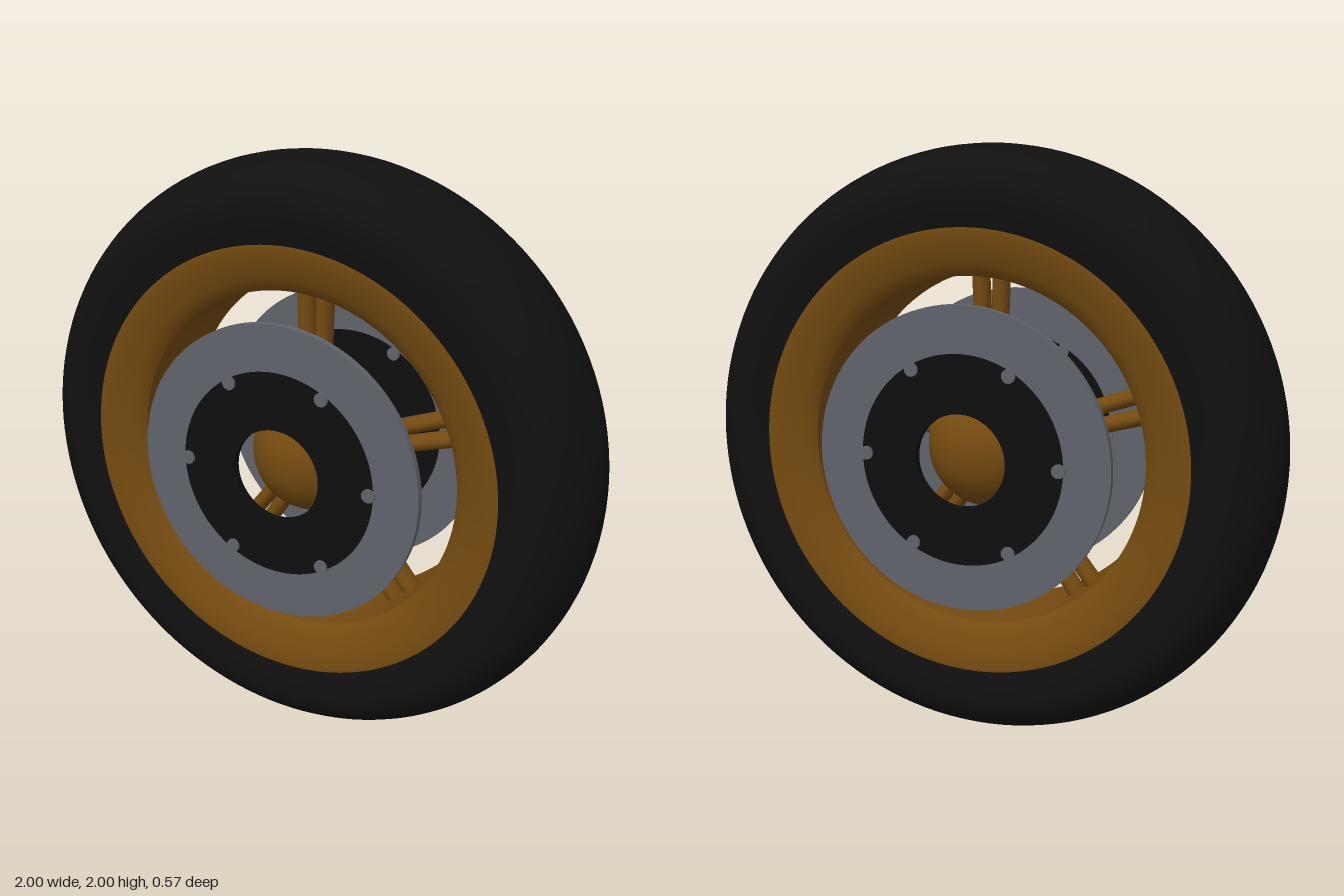
import * as THREE from 'three';
import { toCreasedNormals } from 'three/addons/utils/BufferGeometryUtils.js';

const material = (name, color) => {
  const m = new THREE.MeshStandardMaterial({ color });
  m.name = name;
  return m;
};

// Revolves a closed [radius, z] profile around the axle (z axis)
function ring(profile, segments = 128) {
  const points = [...profile, profile[0]].map(([r, z]) => new THREE.Vector2(r, z));
  const geometry = new THREE.LatheGeometry(points, segments).rotateX(Math.PI / 2);
  return toCreasedNormals(geometry, 0.6);
}

// Completes a front half profile (outside to inside) with its mirrored back half
const mirrored = (half) => [...half, ...half.slice().reverse().map(([r, z]) => [r, -z])];

// Flat washer with a square edge
const washer = (inner, outer, thickness) => {
  const h = thickness / 2;
  return ring([[outer, -h], [outer, h], [inner, h], [inner, -h]]);
};

export function createModel() {
  const rubber = material('black rubber', 0x101010);
  const bronze = material('bronze metal', 0x744a10);
  const steel = material('grey steel', 0x60626b);
  const black = material('black metal', 0x0e0e0e);

  const wheel = new THREE.Group();
  wheel.name = 'wheel';
  const add = (parent, name, geometry, mat) => {
    const mesh = new THREE.Mesh(geometry, mat);
    mesh.name = name;
    parent.add(mesh);
    return mesh;
  };

  // Tyre with an elliptical tread and nearly flat sidewalls
  const tread = [];
  for (let i = 0; i <= 12; i++) {
    const a = (i / 12) * Math.PI / 2;
    tread.push([0.85 + 0.15 * Math.cos(a), 0.24 * Math.sin(a)]);
  }
  add(wheel, 'tyre', ring(mirrored([...tread, [0.79, 0.238], [0.738, 0.225]])), rubber);

  // Rim with curved flanges and a straight inner barrel
  add(wheel, 'rim', ring(mirrored([
    [0.742, 0.226], [0.73, 0.228], [0.68, 0.214], [0.63, 0.198], [0.6, 0.183], [0.585, 0.165],
  ])), bronze);

  // Round hub
  add(wheel, 'hub', new THREE.SphereGeometry(0.215, 48, 32), bronze);

  // Five pairs of spokes, slightly spread towards the rim
  const spokeGeometry = new THREE.CylinderGeometry(0.029, 0.026, 0.5, 20).scale(1, 1, 1.4);
  for (let i = 0; i < 5; i++) {
    const pair = new THREE.Group();
    pair.name = 'spokePair';
    pair.rotation.z = (i / 5) * Math.PI * 2;
    for (const side of [-1, 1]) {
      const spoke = add(pair, 'spoke', spokeGeometry, bronze);
      spoke.position.set(side * 0.03, 0.36, 0);
      spoke.rotation.z = -side * 0.03;
    }
    wheel.add(pair);
  }

  // Brake disc, carrier and bolts on both sides
  const discGeometry = washer(0.35, 0.505, 0.024);
  const carrierGeometry = washer(0.155, 0.35, 0.024);
  const boltGeometry = new THREE.CylinderGeometry(0.023, 0.023, 0.04, 20).rotateX(Math.PI / 2);
  for (const side of [-1, 1]) {
    const brake = new THREE.Group();
    brake.name = side > 0 ? 'frontBrake' : 'backBrake';
    brake.position.z = side * 0.265;
    add(brake, 'brakeDisc', discGeometry, steel);
    add(brake, 'discCarrier', carrierGeometry, black);
    for (let i = 0; i < 6; i++) {
      const a = (i / 6) * Math.PI * 2;
      add(brake, 'bolt', boltGeometry, steel)
        .position.set(0.335 * Math.cos(a), 0.335 * Math.sin(a), 0);
    }
    wheel.add(brake);
  }

  wheel.position.y = 1;
  const model = new THREE.Group();
  model.name = 'wheelAssembly';
  model.add(wheel);
  return model;
}
